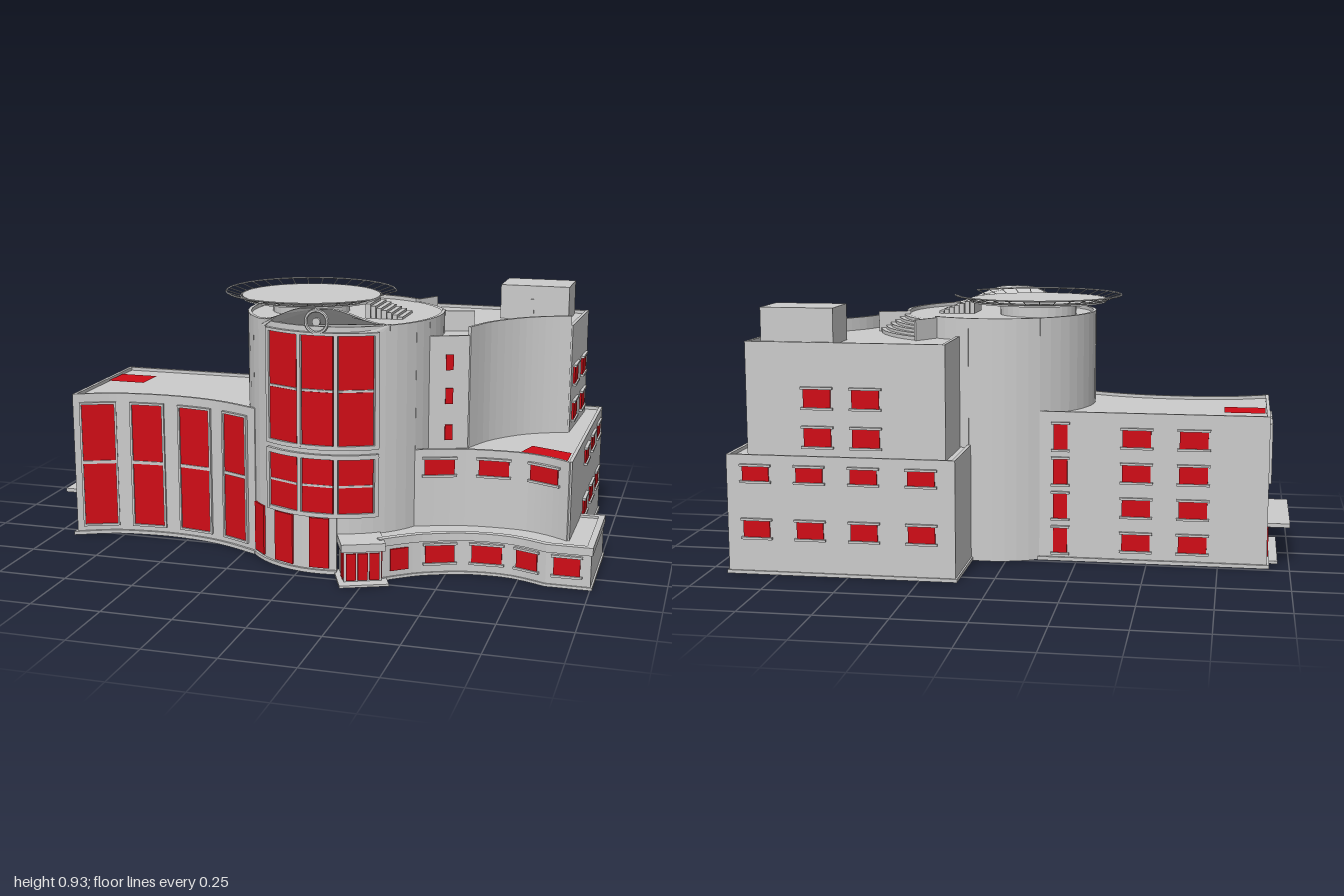
import * as THREE from 'three';

const grey = new THREE.MeshStandardMaterial({ color: 0xcccccc, side: THREE.DoubleSide, flatShading: true });
const red = new THREE.MeshStandardMaterial({ color: 0xd00c16, side: THREE.DoubleSide });

const v = (x, z) => new THREE.Vector2(x, z);
const list = (...c) => c.map(([x, z]) => v(x, z));
const spline = (pts, n) => new THREE.SplineCurve(pts).getPoints(n);

// Oval tower plan: angle in degrees, 90 faces the front
const tower = (deg, s = 1) => {
  const a = deg * Math.PI / 180;
  return v(0.07 + 0.345 * s * Math.cos(a), 0.085 + 0.36 * s * Math.sin(a));
};
const towerArc = (a, b, s = 1) => {
  const n = Math.max(2, Math.round((b - a) / 7));
  return Array.from({ length: n + 1 }, (_, i) => tower(a + (b - a) * i / n, s));
};
const towerFrontZ = x => 0.085 + 0.36 * Math.sqrt(1 - ((x - 0.07) / 0.345) ** 2);

// Point on a plan path at a given x
function at(path, x) {
  for (let i = 0; i < path.length - 1; i++) {
    const a = path[i], b = path[i + 1];
    if ((x - a.x) * (x - b.x) <= 0 && a.x !== b.x) return a.clone().lerp(b, (x - a.x) / (b.x - a.x));
  }
  return path[path.length - 1].clone();
}

export function createModel() {
  const model = new THREE.Group();
  const add = (name, geo, mat = grey) => {
    const m = new THREE.Mesh(geo, mat);
    m.name = name;
    model.add(m);
    return m;
  };
  const box = (name, x0, x1, y0, y1, z0, z1, mat) =>
    add(name, new THREE.BoxGeometry(x1 - x0, y1 - y0, z1 - z0), mat)
      .position.set((x0 + x1) / 2, (y0 + y1) / 2, (z0 + z1) / 2);

  // Upright wall of even thickness following a plan path
  function wall(name, path, y0, y1, t = 0.012) {
    const side = s => path.map((p, i) => {
      const a = path[Math.max(i - 1, 0)], b = path[Math.min(i + 1, path.length - 1)];
      const d1 = p.clone().sub(a).normalize(), d2 = b.clone().sub(p).normalize();
      const d = d1.clone().add(d2).normalize();
      const ref = d1.lengthSq() ? d1 : d2;
      const k = s * t / 2 / Math.max(0.5, d.dot(ref));
      return v(p.x - d.y * k, p.y + d.x * k);
    });
    const shape = new THREE.Shape([...side(1), ...side(-1).reverse()]);
    const geo = new THREE.ExtrudeGeometry(shape, { depth: y1 - y0, bevelEnabled: false });
    add(name, geo.rotateX(Math.PI / 2).translate(0, y1, 0));
  }
  const roof = (name, pts, y, mat) =>
    add(name, new THREE.ShapeGeometry(new THREE.Shape(pts)).rotateX(Math.PI / 2).translate(0, y, 0), mat);

  // Upright slab between two plan points
  function panel(name, p, q, y0, y1, t, mat) {
    const m = add(name, new THREE.BoxGeometry(p.distanceTo(q), y1 - y0, t), mat);
    m.position.set((p.x + q.x) / 2, (y0 + y1) / 2, (p.y + q.y) / 2);
    m.rotation.y = -Math.atan2(q.y - p.y, q.x - p.x);
  }
  // Glazing with head and sill; tall ones also get jambs
  function win(p, q, y0, y1, jambs = false) {
    panel('windowPane', p, q, y0, y1, 0.022, red);
    const d = q.clone().sub(p).normalize().multiplyScalar(0.008);
    const a = p.clone().sub(d), b = q.clone().add(d);
    panel('windowHead', a, b, y1, y1 + 0.008, 0.034);
    panel('windowSill', a, b, y0 - 0.008, y0, 0.034);
    if (jambs) {
      panel('windowJamb', a, p, y0, y1, 0.034);
      panel('windowJamb', q, b, y0, y1, 0.034);
    }
  }

  // ---- Long wing with a curved front
  const wingFront = spline(list([-0.915, 0.285], [-0.8, 0.235], [-0.7, 0.217], [-0.58, 0.21],
    [-0.45, 0.222], [-0.33, 0.255], [-0.2, 0.315]), 24);
  const wing = [...list([-0.11, -0.22], [-0.915, -0.22]), ...wingFront];
  wall('wingWall', wing, 0, 0.54);
  wall('wingPlinth', wing, 0, 0.013, 0.03);
  roof('wingRoof', wing, 0.528);
  roof('wingSkylight', list([-0.905, -0.115], [-0.76, -0.115], [-0.76, 0.012], [-0.905, 0.012]), 0.533, red);
  for (const [a, b] of [[-0.895, -0.785], [-0.715, -0.6], [-0.525, -0.405], [-0.335, -0.24]]) {
    win(at(wingFront, a), at(wingFront, b), 0.04, 0.5, true);
    panel('wingTransom', at(wingFront, a), at(wingFront, b), 0.274, 0.286, 0.03);
  }
  for (const y of [0.075, 0.2, 0.325, 0.45]) {
    for (const x of [-0.46, -0.66]) win(v(x - 0.05, -0.22), v(x + 0.05, -0.22), y - 0.03, y + 0.03);
    win(v(-0.215, -0.22), v(-0.165, -0.22), y - 0.045, y + 0.045);
  }
  // Wing end: tall windows, doors and canopy
  for (const z of [-0.07, 0.1]) win(v(-0.915, z - 0.05), v(-0.915, z + 0.05), 0.29, 0.49, true);
  for (const z of [-0.09, -0.03, 0.03, 0.09]) panel('endDoor', v(-0.915, z - 0.027), v(-0.915, z + 0.027), 0.015, 0.115, 0.024, red);
  box('endCanopy', -1, -0.91, 0.138, 0.152, -0.18, 0.22);
  box('endStep', -0.96, -0.91, 0, 0.01, -0.16, 0.2);

  // ---- Oval tower, wall started above whatever adjoins it
  for (const [a, b, y0, y1] of [[79, 141, 0, 0.87], [238, 280, 0, 0.87], [31, 79, 0.14, 0.87], [19, 31, 0.41, 0.87],
    [141, 238, 0.52, 0.87], [280, 303, 0.41, 0.87], [303, 345, 0.79, 0.856], [345, 379, 0.79, 0.87]])
    wall('towerWall', towerArc(a, b), y0, y1);
  wall('towerPlinth', towerArc(79, 141), 0, 0.013, 0.03);
  roof('towerRoof', towerArc(0, 353), 0.857);

  // Raised crest bent around the tower front
  const crestTop = [], crestBase = [];
  for (let i = 0; i <= 24; i++) {
    const x = -0.16 + 0.46 * i / 24;
    const k = 1 - THREE.MathUtils.smoothstep(Math.abs(x - 0.07), 0.04, 0.23);
    crestTop.push(v(x, 0.872 + 0.058 * k));
    crestBase.unshift(v(x, 0.85));
  }
  const crest = new THREE.ExtrudeGeometry(new THREE.Shape([...crestTop, ...crestBase]), { depth: 0.02, bevelEnabled: false });
  const cp = crest.attributes.position;
  for (let i = 0; i < cp.count; i++) cp.setZ(i, cp.getZ(i) - 0.01 + towerFrontZ(cp.getX(i)));
  crest.computeVertexNormals();
  add('towerCrest', crest);
  add('crestRing', new THREE.TorusGeometry(0.038, 0.006, 6, 24)).position.set(0.07, 0.887, 0.458);
  add('crestBoss', new THREE.CylinderGeometry(0.014, 0.014, 0.012, 12).rotateX(Math.PI / 2)).position.set(0.07, 0.887, 0.458);

  // Tower glazing, mullions and bands
  const tp = x => v(x, towerFrontZ(x));
  for (const x of [-0.11, 0.015, 0.14]) {
    for (const [y0, y1] of [[0.46, 0.645], [0.655, 0.84], [0.22, 0.312], [0.318, 0.41]])
      panel('towerPane', tp(x), tp(x + 0.11), y0, y1, 0.026, red);
    for (const y of [0.312, 0.646]) panel('towerTransom', tp(x), tp(x + 0.11), y, y + 0.008, 0.03);
  }
  for (const x of [-0.122, 0.001, 0.126, 0.251])
    for (const [y0, y1] of [[0.21, 0.42], [0.45, 0.85]]) panel('towerMullion', tp(x), tp(x + 0.013), y0, y1, 0.036);
  const bay = Array.from({ length: 13 }, (_, i) => tp(-0.122 + 0.386 * i / 12));
  for (const [y0, y1] of [[0.205, 0.22], [0.412, 0.428], [0.445, 0.46], [0.84, 0.85]]) wall('towerBand', bay, y0, y1, 0.036);
  for (const [a, b] of [[-0.195, -0.145], [-0.095, -0.02], [0.04, 0.11]]) panel('towerGroundPane', tp(a), tp(b), 0.02, 0.2, 0.026, red);

  // ---- Landing deck on a drum, with a sloping safety net open at the stairs
  const deck = v(-0.07, 0.06);
  add('deckDrum', new THREE.CylinderGeometry(0.14, 0.14, 0.055, 32)).position.set(deck.x, 0.88, deck.y);
  add('deckSlab', new THREE.CylinderGeometry(0.25, 0.25, 0.012, 40)).position.set(deck.x, 0.909, deck.y);
  const netPoint = (r, y, a) => new THREE.Vector3(deck.x + r * Math.cos(a), y, deck.y + r * Math.sin(a));
  const a0 = 0.56, a1 = 2 * Math.PI - 0.2, struts = 29;
  for (const [r, y] of [[0.255, 0.912], [0.307, 0.929]]) {
    const pts = Array.from({ length: struts + 1 }, (_, i) => netPoint(r, y, a0 + (a1 - a0) * i / struts));
    add('netRail', new THREE.TubeGeometry(new THREE.CatmullRomCurve3(pts), 60, 0.0028, 4));
  }
  for (let i = 0; i <= struts; i++) {
    const a = a0 + (a1 - a0) * i / struts;
    const line = new THREE.LineCurve3(netPoint(0.25, 0.911, a), netPoint(0.307, 0.929, a));
    add('netStrut', new THREE.TubeGeometry(line, 1, 0.0018, 4));
  }
  for (let i = 0; i < 7; i++) {
    const x = 0.165 + i * 0.019, skew = -0.006 * i / 6;
    box('deckStep', x, x + 0.017, 0.855, 0.908 - i * 0.007, 0.03 + skew, 0.18 + skew);
  }

  // ---- Lower side block
  const lowFront = spline(list([0.366, 0.27], [0.46, 0.235], [0.57, 0.208], [0.73, 0.205], [0.83, 0.235], [0.91, 0.283]), 20);
  const low = [...list([0.13, -0.272], [0.13, -0.56], [0.918, -0.56]), ...lowFront.slice().reverse()];
  wall('lowerWall', low.slice(0, 4), 0, 0.42);
  wall('lowerFrontWall', lowFront, 0.14, 0.42);
  wall('lowerPlinth', [...low.slice(0, 3), v(0.913, -0.01)], 0, 0.012, 0.024);
  roof('lowerRoof', low, 0.408);
  roof('lowerSkylight', list([0.75, 0.08], [0.895, 0.14], [0.895, 0.255], [0.72, 0.19]), 0.413, red);
  for (const [a, b] of [[0.4, 0.5], [0.585, 0.69], [0.77, 0.87]]) win(at(lowFront, a), at(lowFront, b), 0.33, 0.385);
  for (const [y0, y1] of [[0.33, 0.38], [0.132, 0.19]]) {
    for (const z of [-0.095, -0.283, -0.463]) win(v(0.914, z - 0.047), v(0.914, z + 0.047), y0, y1);
    for (const x of [0.24, 0.44, 0.63, 0.82]) win(v(x - 0.047, -0.56), v(x + 0.047, -0.56), y0, y1);
  }

  // ---- Upper side block with a concave front
  const scoop = spline(list([0.84, -0.17], [0.75, -0.135], [0.665, -0.075], [0.58, 0.03], [0.53, 0.15]), 16);
  const upper = list([0.17, -0.26], [0.17, -0.515], [0.855, -0.515], [0.84, -0.17]);
  wall('upperWall', upper, 0.4, 0.805);
  wall('scoopWall', scoop, 0.4, 0.84);
  wall('stairWall', list([0.53, 0.15], [0.397, 0.2]), 0.4, 0.81);
  roof('upperRoof', [...upper, ...scoop.slice(1), v(0.397, 0.2)], 0.793);
  for (const [y0, y1] of [[0.582, 0.645], [0.447, 0.51]]) {
    for (const z of [-0.26, -0.433]) win(v(0.855 - (z + 0.515) * 0.043, z - 0.048), v(0.855 - (z + 0.515) * 0.043, z + 0.048), y0, y1);
    for (const x of [0.44, 0.61]) win(v(x - 0.048, -0.515), v(x + 0.048, -0.515), y0, y1);
  }
  for (const y of [0.44, 0.57, 0.69]) panel('stairPane', v(0.453, 0.179), v(0.478, 0.1695), y, y + 0.055, 0.024, red);
  box('penthouse', 0.555, 0.81, 0.79, 0.92, -0.5, -0.32);
  box('penthouseDoor', 0.64, 0.68, 0.793, 0.87, -0.322, -0.317);

  // Curved steps from the tower roof down to the upper block
  for (let i = 0; i < 6; i++) wall('roofStep', towerArc(303, 345, 1.02 + i * 0.05), 0.79, 0.856 - i * 0.01, 0.018);
  for (const a of [302, 346]) panel('stepCheek', tower(a, 0.99), tower(a, 1.32), 0.79, 0.866, 0.008);

  // ---- Ground floor band along the front
  const bandFront = [...spline(list([0.29, 0.465], [0.35, 0.415], [0.43, 0.362], [0.57, 0.312], [0.72, 0.308], [0.85, 0.355]), 16), v(0.995, 0.355)];
  const band = [...bandFront, v(0.995, -0.005), v(0.912, -0.005)];
  wall('bandWall', band, 0, 0.15);
  wall('bandFascia', band, 0.122, 0.15, 0.022);
  wall('bandPlinth', band, 0, 0.01, 0.024);
  roof('bandRoof', [...band, ...lowFront.slice().reverse(), tower(45), tower(60), tower(79)], 0.142);
  for (const [a, b] of [[0.43, 0.525], [0.585, 0.69], [0.745, 0.82], [0.875, 0.965]]) win(at(bandFront, a), at(bandFront, b), 0.045, 0.108);
  panel('bandPane', at(bandFront, 0.322), at(bandFront, 0.375), 0.03, 0.108, 0.024, red);

  // Angled entrance porch
  const porch = new THREE.Group();
  porch.name = 'entrancePorch';
  const part = (name, w, h, d, x, y, z, mat = grey) => {
    const m = new THREE.Mesh(new THREE.BoxGeometry(w, h, d), mat);
    m.name = name;
    m.position.set(x, y, z);
    porch.add(m);
  };
  part('porchBody', 0.13, 0.12, 0.13, 0, 0.06, -0.085);
  part('porchCanopy', 0.152, 0.028, 0.16, 0, 0.132, -0.08);
  part('porchStep', 0.17, 0.008, 0.17, 0, 0.004, -0.065);
  for (const x of [-0.04, 0, 0.04]) part('porchDoor', 0.034, 0.095, 0.01, x, 0.06, -0.019, red);
  for (const s of [-1, 1]) part('porchSidePane', 0.01, 0.095, 0.05, s * 0.064, 0.06, -0.055, red);
  porch.position.set(0.255, 0, 0.528);
  porch.rotation.y = 0.4;
  model.add(porch);

  return model;
}
